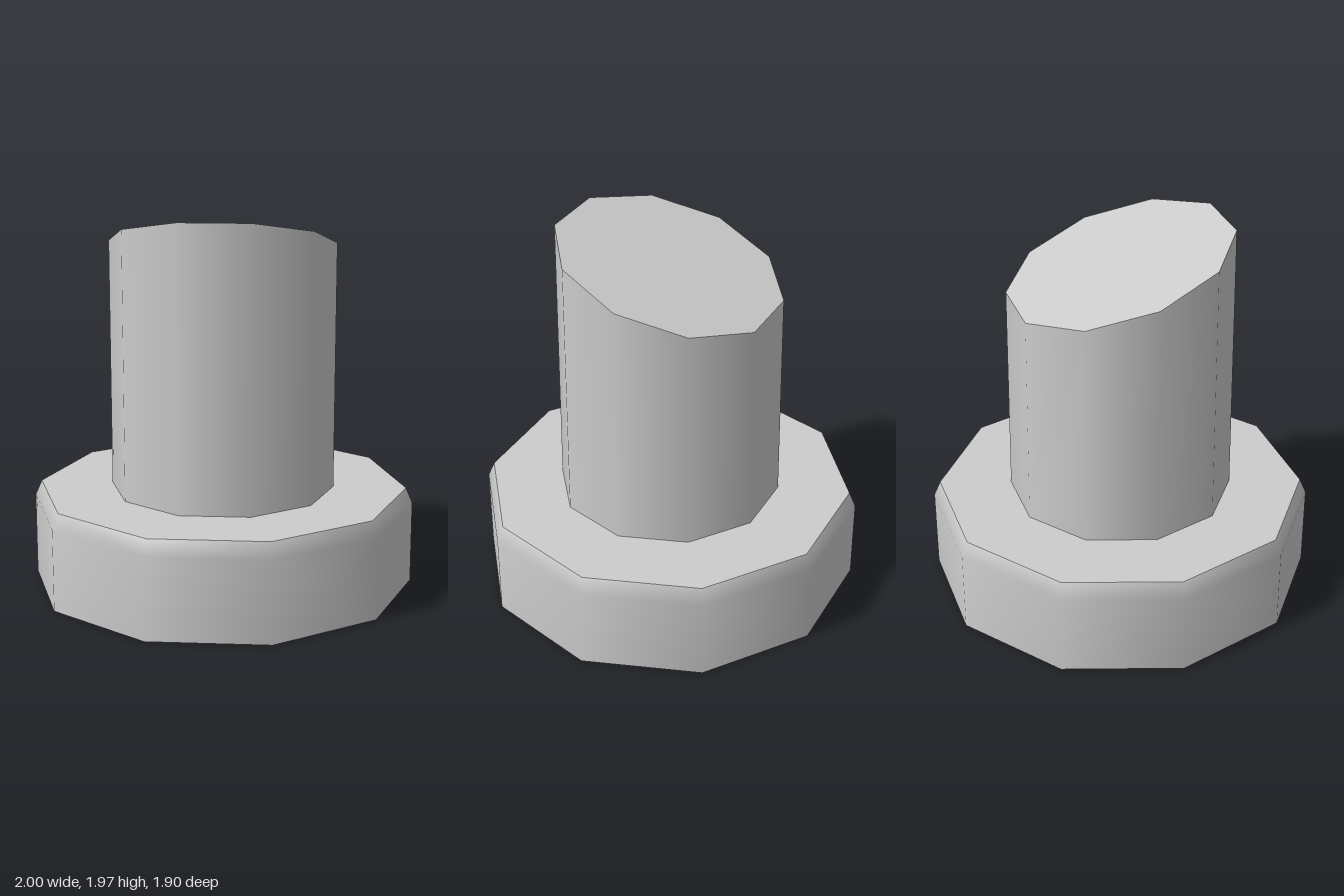
import * as THREE from 'three';

const SIDES = 10;
const START = Math.PI / 10; // puts corners on the x axis

export function createModel() {
  const group = new THREE.Group();
  const grey = new THREE.MeshStandardMaterial({ color: 0xcccccc, side: THREE.DoubleSide });
  grey.name = 'grey';
  const add = (geometry, name) => {
    const mesh = new THREE.Mesh(geometry, grey);
    mesh.name = name;
    group.add(mesh);
    return mesh;
  };

  // Hollow base skirt with a bevelled upper rim, open underneath
  const profile = [[1, 0], [1, 0.43], [0.965, 0.51]].map(([r, y]) => new THREE.Vector2(r, y));
  add(new THREE.LatheGeometry(profile, SIDES, START), 'baseSkirt');

  // Flat plate closing the top of the base
  const plate = new THREE.CircleGeometry(0.965, SIDES);
  plate.rotateX(-Math.PI / 2);
  add(plate, 'basePlate').position.y = 0.51;

  // Stem whose top is cut on a slant, high at the front
  const low = 0.51, mid = 1.8, slope = 0.307;
  const stem = new THREE.CylinderGeometry(0.585, 0.585, mid - low, SIDES, 1, true, START);
  stem.translate(0, (mid + low) / 2, 0);
  const cap = new THREE.CircleGeometry(0.585, SIDES);
  cap.rotateX(-Math.PI / 2);
  cap.translate(0, mid, 0);
  for (const geometry of [stem, cap]) {
    const p = geometry.attributes.position;
    for (let i = 0; i < p.count; i++) {
      if (p.getY(i) < mid - 0.01) continue;
      const z = p.getZ(i) * 0.98; // slight taper front to back
      p.setZ(i, z);
      p.setY(i, mid + z * slope);
    }
  }
  cap.computeVertexNormals();
  add(stem, 'stem');
  add(cap, 'slantedCap');

  return group;
}
